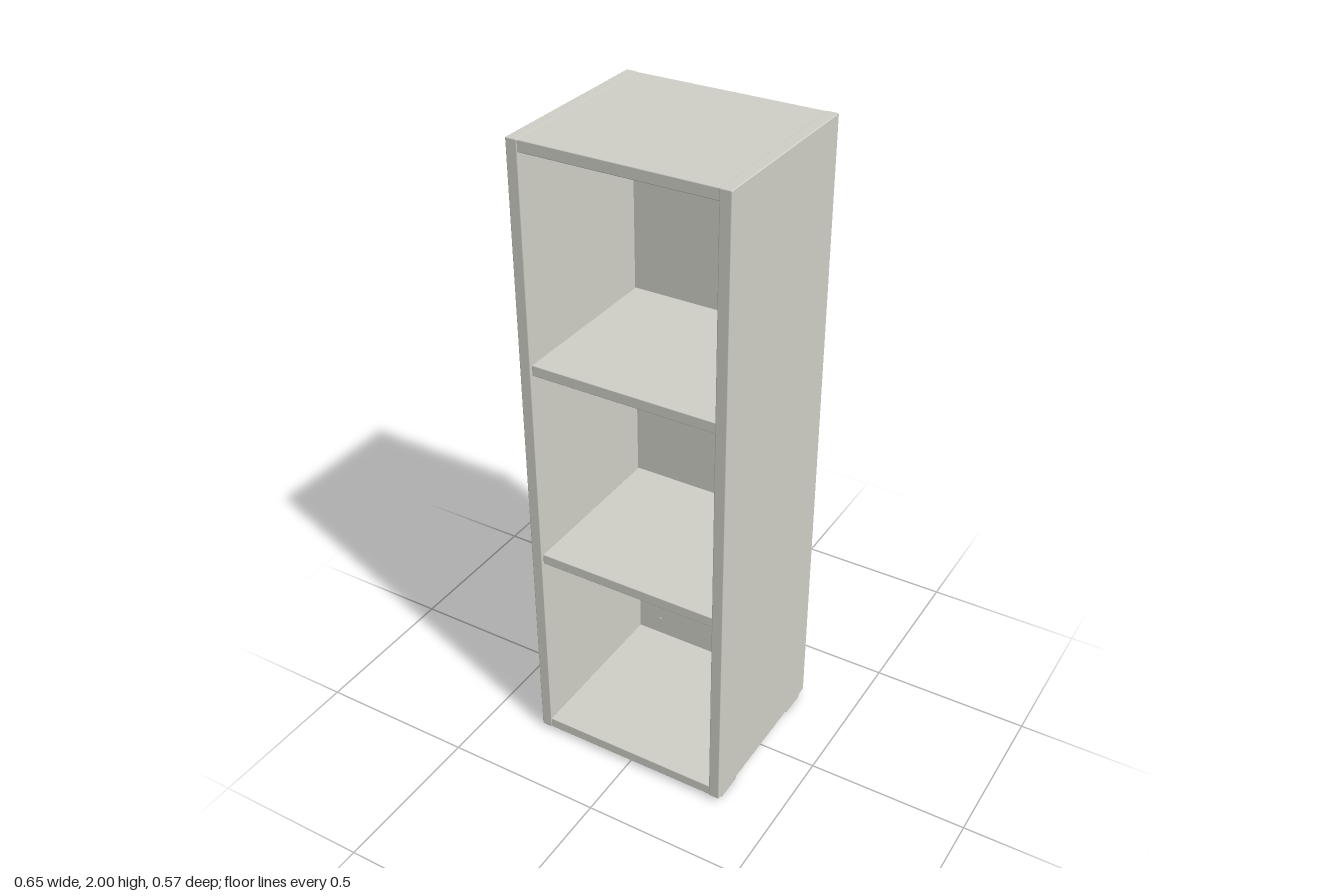
import * as THREE from 'three';
import { RoundedBoxGeometry } from 'three/addons/geometries/RoundedBoxGeometry.js';

export function createModel() {
  const model = new THREE.Group();
  model.name = 'openCabinet';
  const paint = new THREE.MeshStandardMaterial({ color: 0xd0d0c8 });
  paint.name = 'warmGreyPaint';

  function add(name, geometry, x = 0, y = 0, z = 0) {
    const mesh = new THREE.Mesh(geometry, paint);
    mesh.name = name;
    mesh.position.set(x, y, z);
    model.add(mesh);
    return mesh;
  }
  // Softened board given by its limits on each axis
  function board(name, [x0, x1], [y0, y1], [z0, z1], radius = 0.003) {
    const geometry = new RoundedBoxGeometry(x1 - x0, y1 - y0, z1 - z0, 2, radius);
    return add(name, geometry, (x0 + x1) / 2, (y0 + y1) / 2, (z0 + z1) / 2);
  }

  // Carcass: the sides stand a hair proud of the top and bottom
  const inner = 0.288;
  const depth = [-0.283, 0.283];
  board('leftSide', [inner, 0.323], [0.015, 2], [-0.285, 0.285]);
  board('rightSide', [-0.323, -inner], [0.015, 2], [-0.285, 0.285]);
  board('top', [-inner - 0.005, inner + 0.005], [1.965, 1.9995], depth);
  board('bottom', [-inner - 0.005, inner + 0.005], [0.0155, 0.05], depth);

  // Shelves run from the recessed back panel to the front
  for (const y of [0.67, 1.316]) board('shelf', [-inner, inner], [y, y + 0.034], [-0.256, 0.278]);

  // Back panel, set in from the rear edges
  add('backPanel', new THREE.BoxGeometry(2 * inner, 1.915, 0.01), 0, 1.0075, -0.26);

  // Wall mount puck profile, spun about its axis
  const puck = new THREE.LatheGeometry([
    [0, 0], [0.036, 0], [0.036, 0.013], [0.033, 0.018], [0.014, 0.018], [0.012, 0.014], [0, 0.014],
  ].map(([r, h]) => new THREE.Vector2(r, h)), 32).toNonIndexed();
  puck.computeVertexNormals();

  for (const side of [-1, 1]) {
    // Inside mounting plates and rear pucks near the top corners
    board('mountPlate', [side * 0.21 - 0.056, side * 0.21 + 0.056], [1.86, 1.958], [-0.256, -0.244], 0.002);
    add('wallMount', puck, side * 0.21, 1.91, -0.265).rotation.x = -Math.PI / 2;
    add('mountScrew', new THREE.CylinderGeometry(0.006, 0.006, 0.008, 12), side * 0.21, 1.91, -0.28)
      .rotation.x = Math.PI / 2;

    // Small fixing pin through the lower back panel
    add('fixingPin', new THREE.CylinderGeometry(0.006, 0.006, 0.014, 12), side * 0.21, 0.11, -0.26)
      .rotation.x = Math.PI / 2;

    // Glide feet under the side boards
    for (const end of [-1, 1]) {
      board('foot', [side * 0.307 - 0.014, side * 0.307 + 0.014], [0, 0.018],
        [end * 0.215 - 0.045, end * 0.215 + 0.045], 0.004);
    }
  }
  return model;
}
